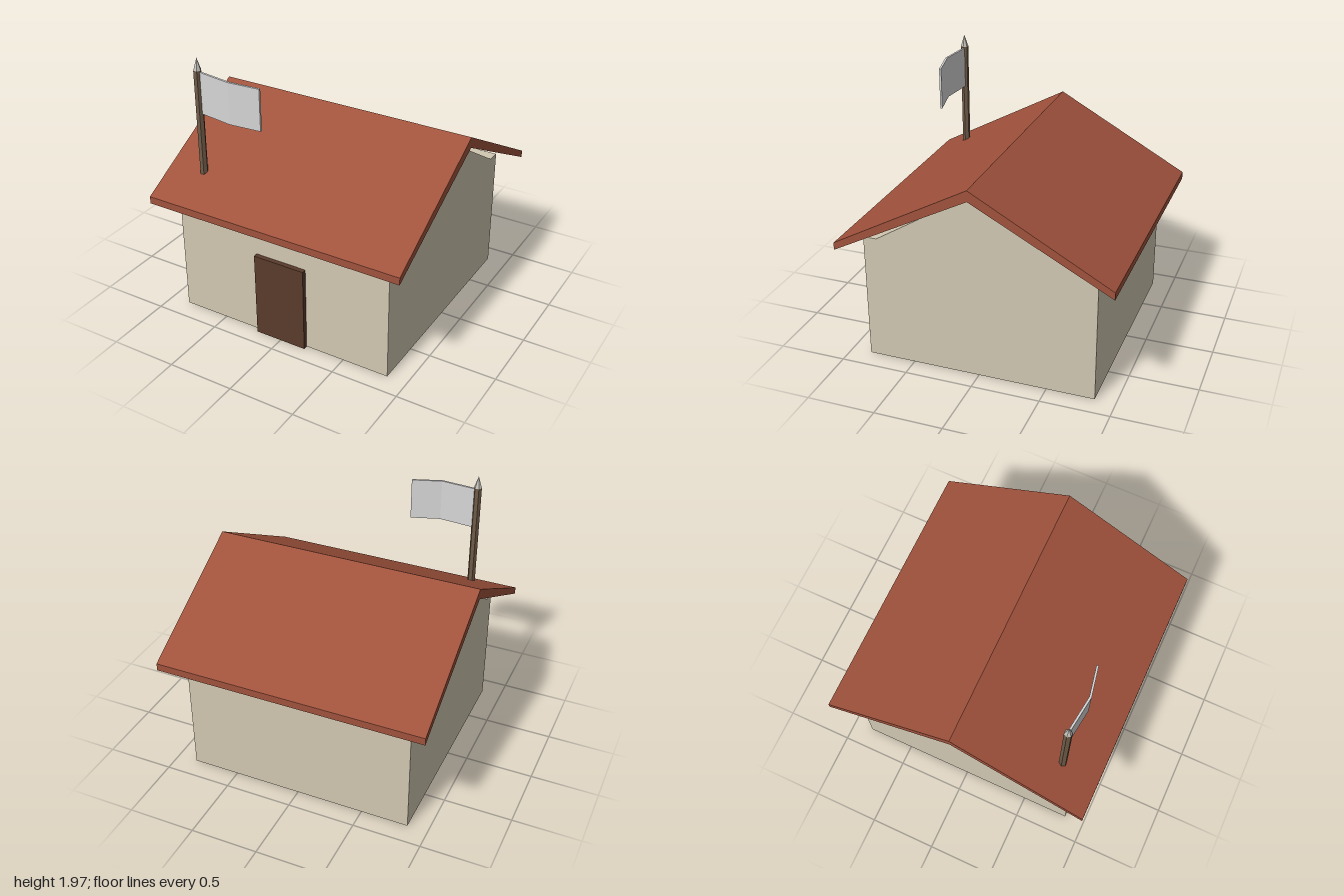
import * as THREE from 'three';

function material(name, color) {
  const m = new THREE.MeshStandardMaterial({ color });
  m.name = name;
  m.flatShading = true;
  return m;
}

// Extrudes a [z, y] outline along x, centred on x = 0
function profileAlongX(points, width) {
  const shape = new THREE.Shape(points.map(([z, y]) => new THREE.Vector2(-z, y)));
  const geo = new THREE.ExtrudeGeometry(shape, { depth: width, bevelEnabled: false });
  return geo.translate(0, 0, -width / 2).rotateY(Math.PI / 2);
}

export function createModel() {
  const plaster = material('plaster', 0xd2c8b2);
  const tiles = material('roofTiles', 0xa0523c);
  const darkWood = material('darkWood', 0x5a3b2c);
  const poleWood = material('poleWood', 0x705c48);
  const cloth = material('cloth', 0xd6d6d6);
  const metal = material('metal', 0xc4c2ba);

  const model = new THREE.Group();
  model.name = 'house';
  const add = (name, geo, mat, x = 0, y = 0, z = 0) => {
    const mesh = new THREE.Mesh(geo, mat);
    mesh.name = name;
    mesh.position.set(x, y, z);
    model.add(mesh);
    return mesh;
  };

  // Walls with gables, leaving a small ledge at each eave
  add('walls', profileAlongX([
    [0.85, 0], [0.85, 0.95], [0.75, 0.95], [0, 1.417],
    [-0.75, 0.95], [-0.85, 0.95], [-0.85, 0],
  ], 1.7), plaster);

  // Roof slab folded over the ridge
  add('roof', profileAlongX([
    [1, 0.895], [1, 0.95], [0, 1.5], [-1, 0.95], [-1, 0.895], [0, 1.42],
  ], 2), tiles);

  add('door', new THREE.BoxGeometry(0.4, 0.65, 0.035), darkWood, 0, 0.325, 0.8675);

  // Six-sided flagpole and pointed tip
  const px = -0.72, pz = 0.72;
  add('flagpole', new THREE.CylinderGeometry(0.029, 0.029, 0.83, 6), poleWood, px, 1.465, pz)
    .rotation.y = Math.PI / 6;
  add('poleTip', new THREE.ConeGeometry(0.029, 0.09, 6), metal, px, 1.925, pz)
    .rotation.y = Math.PI / 6;

  // Flag: a thin box bent once in the middle and drooping towards its free end
  const flagGeo = new THREE.BoxGeometry(1, 0.31, 0.016, 2, 1, 1);
  const pos = flagGeo.attributes.position;
  const bend = [[-0.71, 1.715, 0.717], [-0.44, 1.71, 0.752], [-0.22, 1.695, 0.709]];
  for (let i = 0; i < pos.count; i++) {
    const [x, y, z] = bend[Math.round((pos.getX(i) + 0.5) * 2)];
    pos.setXYZ(i, x, y + pos.getY(i), z + pos.getZ(i));
  }
  flagGeo.computeVertexNormals();
  add('flag', flagGeo, cloth);

  return model;
}
